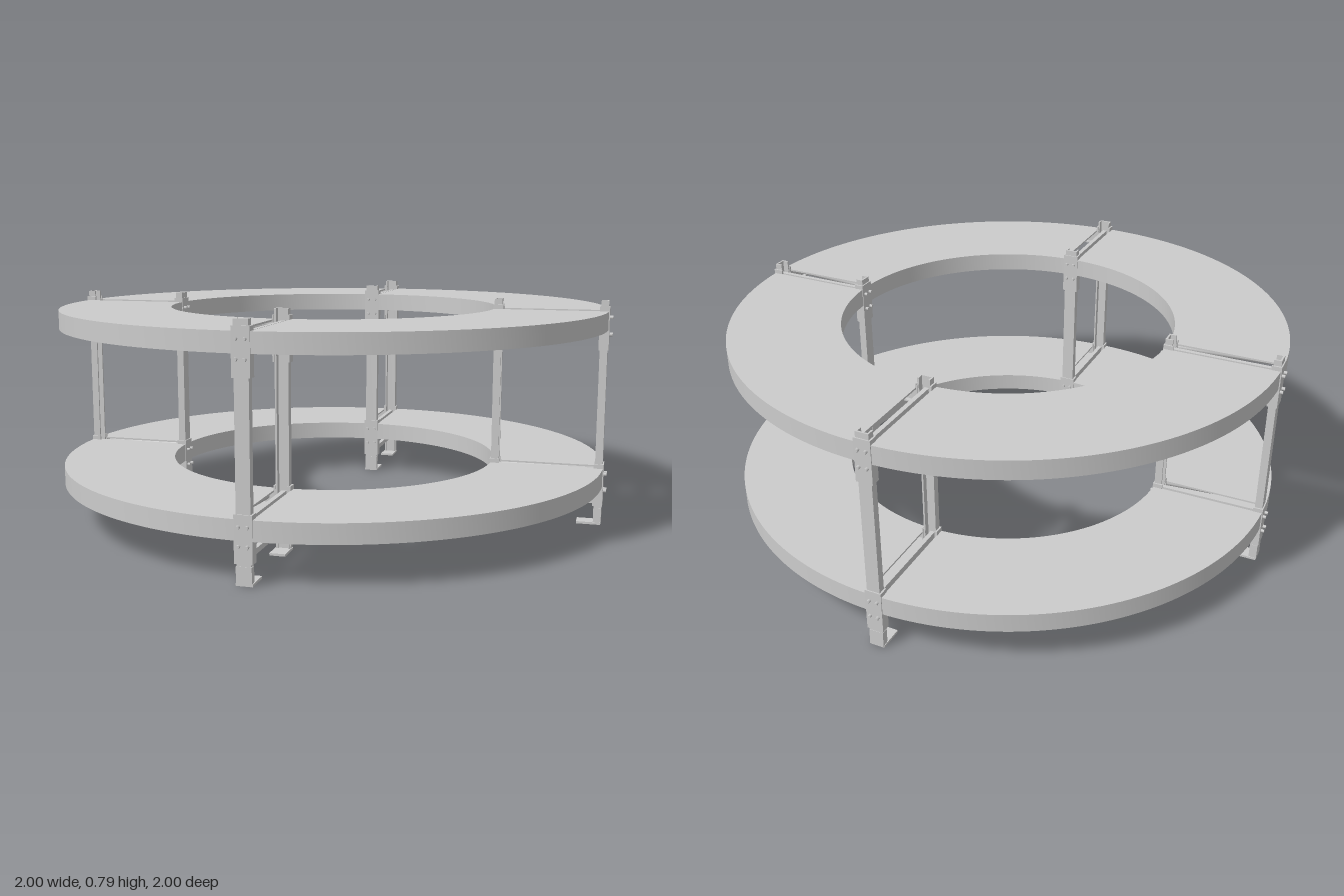
import * as THREE from 'three';
import { toCreasedNormals } from 'three/addons/utils/BufferGeometryUtils.js';

const OUTER = 0.985, INNER = 0.592, GAP = 0.027;
const DECKS = [{ name: 'lowerDeck', y: 0.138 }, { name: 'upperDeck', y: 0.69 }];
const DECK_HEIGHT = 0.065;

const material = new THREE.MeshStandardMaterial({ color: 0xcccccc });

function add(parent, name, geometry, x = 0, y = 0, z = 0) {
  const mesh = new THREE.Mesh(geometry, material);
  mesh.name = name;
  mesh.position.set(x, y, z);
  parent.add(mesh);
  return mesh;
}

// box given by its min and max on each axis
function addBox(parent, name, [x0, x1], [y0, y1], [z0, z1]) {
  return add(parent, name, new THREE.BoxGeometry(x1 - x0, y1 - y0, z1 - z0),
    (x0 + x1) / 2, (y0 + y1) / 2, (z0 + z1) / 2);
}

function extrudeUp(shape, height) {
  const geometry = new THREE.ExtrudeGeometry(shape, { depth: height, bevelEnabled: false, curveSegments: 32 });
  geometry.rotateX(-Math.PI / 2);
  return toCreasedNormals(geometry, 0.5);
}

// quarter ring with straight parallel gaps at both ends
function quarterRing(r0, r1, height) {
  const a0 = Math.asin(GAP / r0), a1 = Math.asin(GAP / r1);
  const shape = new THREE.Shape();
  shape.absarc(0, 0, r1, a1, Math.PI / 2 - a1, false);
  shape.absarc(0, 0, r0, Math.PI / 2 - a0, a0, true);
  shape.closePath();
  return extrudeUp(shape, height);
}

// upright C channel; its open side faces +x when dir is 1
function channel(width, depth, wall, height, dir) {
  const w = width / 2, d = depth / 2;
  const points = [[-d, -w], [d, -w], [d, -w + wall], [-d + wall, -w + wall],
    [-d + wall, w - wall], [d, w - wall], [d, w], [-d, w]];
  const shape = new THREE.Shape(points.map(([x, y]) => new THREE.Vector2(x, y)));
  const geometry = extrudeUp(shape, height);
  if (dir < 0) geometry.rotateY(Math.PI);
  return geometry;
}

function createDeckQuarter(name, hasPan) {
  const quarter = new THREE.Group();
  quarter.name = name;
  const h = DECK_HEIGHT, wall = 0.008, lip = 0.022;
  add(quarter, 'topPlate', quarterRing(INNER, OUTER, 0.006), 0, h - 0.006);
  add(quarter, 'outerRail', quarterRing(OUTER - wall, OUTER, h - 0.006));
  add(quarter, 'innerRail', quarterRing(INNER, INNER + wall, h - 0.006));
  add(quarter, 'outerRailLip', quarterRing(OUTER - lip, OUTER - wall, 0.005));
  add(quarter, 'innerRailLip', quarterRing(INNER + wall, INNER + lip, 0.005));
  if (hasPan) add(quarter, 'bottomPan', quarterRing(INNER + wall, OUTER - wall, 0.004), 0, 0.014);

  // tapered rollers pointing at the centre
  const count = 11;
  const rollerGeometry = new THREE.CylinderGeometry(0.018, 0.014, OUTER - INNER - 2 * wall, 14);
  rollerGeometry.rotateZ(-Math.PI / 2);
  rollerGeometry.translate((OUTER + INNER) / 2, 0, 0);
  for (let i = 0; i < count; i++) {
    const roller = add(quarter, 'roller', rollerGeometry, 0, h - 0.026, 0);
    roller.rotation.y = (i + 0.5) / count * (Math.PI / 2 - 0.08) + 0.04;
  }
  return quarter;
}

// one leg of a stand; side 1 is the outer leg, -1 the inner one
function createLeg(side) {
  const leg = new THREE.Group();
  leg.name = side > 0 ? 'outerLeg' : 'innerLeg';
  const face = side > 0 ? OUTER : INNER;
  // radial span measured inward from the outside face
  const span = (a, b) => [face - side * a, face - side * b].sort((p, q) => p - q);

  add(leg, 'post', channel(0.046, 0.026, 0.006, 0.79, -side), face - side * 0.014, 0, 0);
  addBox(leg, 'footPlate', span(0.002, 0.085), [0, 0.008], [-0.027, 0.027]);
  addBox(leg, 'footSleeve', span(0, 0.02), [0.004, 0.06], [-0.025, 0.025]);

  const boltGeometry = new THREE.CylinderGeometry(0.006, 0.006, 0.012, 6);
  boltGeometry.rotateZ(Math.PI / 2);
  for (const { y } of DECKS) {
    // clamp around the post under and beside each deck
    add(leg, 'clamp', channel(0.058, 0.034, 0.006, 0.15, -side), face - side * 0.014, y - 0.07, 0);
    for (const dy of [-0.016, 0.043]) {
      for (const z of [-0.014, 0.014]) {
        add(leg, 'bolt', boltGeometry, face + side * 0.008, y + dy, z);
      }
    }
    for (const z of [-1, 1]) {
      addBox(leg, 'clampEar', span(0.004, 0.028), [y + 0.06, y + 0.078], [z * 0.023 - 0.005, z * 0.023 + 0.005]);
    }
  }
  return leg;
}

function createStand() {
  const stand = new THREE.Group();
  stand.name = 'stand';
  stand.add(createLeg(1), createLeg(-1));
  const reach = [INNER + 0.008, OUTER - 0.008];
  addBox(stand, 'footBrace', reach, [0.073, 0.091], [-0.008, 0.008]);
  for (const { y } of DECKS) {
    addBox(stand, 'crossBar', reach, [y + 0.035, y + 0.06], [-0.008, 0.008]);
  }
  return stand;
}

export function createModel() {
  const model = new THREE.Group();
  model.name = 'roundConveyor';
  for (let i = 0; i < 4; i++) {
    const turn = i * Math.PI / 2;
    DECKS.forEach(({ name, y }, level) => {
      const quarter = createDeckQuarter(name, level === 0);
      quarter.position.y = y;
      quarter.rotation.y = turn;
      // rollers run through the same quadrant as the plates
      model.add(quarter);
    });
    const stand = createStand();
    stand.rotation.y = turn;
    model.add(stand);
  }
  return model;
}
